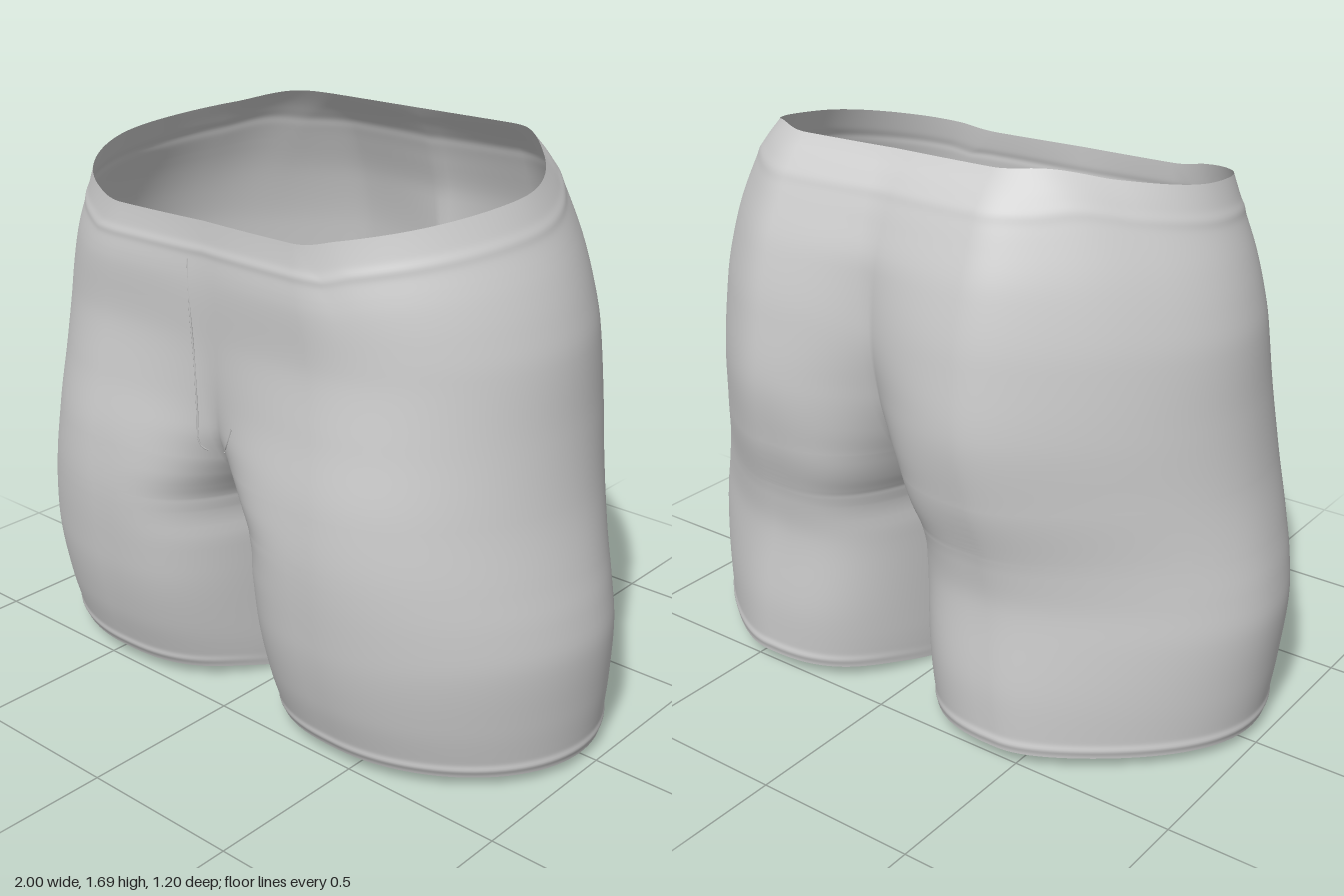
import * as THREE from 'three';

// Smooth monotone curve through [x, y] points
function curve(pts) {
  const n = pts.length;
  const d = pts.slice(1).map((p, i) => (p[1] - pts[i][1]) / (p[0] - pts[i][0]));
  const m = pts.map((p, i) => {
    if (i === 0) return d[0];
    if (i === n - 1) return d[n - 2];
    return d[i - 1] * d[i] <= 0 ? 0 : (2 * d[i - 1] * d[i]) / (d[i - 1] + d[i]);
  });
  return (x) => {
    x = Math.min(Math.max(x, pts[0][0]), pts[n - 1][0]);
    let i = 0;
    while (i < n - 2 && x > pts[i + 1][0]) i++;
    const h = pts[i + 1][0] - pts[i][0], t = (x - pts[i][0]) / h, q = 1 - t;
    return pts[i][1] * (1 + 2 * t) * q * q + h * m[i] * t * q * q
      + pts[i + 1][1] * t * t * (3 - 2 * t) - h * m[i + 1] * t * t * q;
  };
}

const HEM = 0.03, CROTCH = 0.64, WAIST = 1.61;

// Outer width, front and back depth by height
const outerX = curve([[0.03, 0.968], [0.2, 0.988], [0.38, 1], [0.5, 0.985], [0.6, 0.963], [0.8, 0.92],
  [1, 0.892], [1.2, 0.87], [1.3, 0.845], [1.4, 0.81], [1.5, 0.765], [1.61, 0.716]]);
const frontZ = curve([[0.03, 0.495], [0.2, 0.545], [0.4, 0.582], [0.65, 0.6], [0.8, 0.593], [1, 0.565],
  [1.2, 0.545], [1.4, 0.55], [1.61, 0.53]]);
const backZ = curve([[0.03, 0.52], [0.2, 0.525], [0.48, 0.51], [0.6, 0.525], [0.8, 0.575], [1, 0.6],
  [1.2, 0.582], [1.35, 0.545], [1.45, 0.5], [1.53, 0.455], [1.61, 0.38]]);
// Position of the fullest point at the front and back, and the mid depth
const frontX = curve([[0.03, 0.46], [0.5, 0.44], [0.9, 0.42], [1.61, 0.32]]);
const backX = curve([[0.03, 0.44], [0.5, 0.4], [0.95, 0.35], [1.61, 0.32]]);
const midZ = curve([[0.03, 0.03], [0.64, 0.05], [1.2, 0.04], [1.61, 0.08]]);
// Centre seam depth above the crotch, and gap between the legs below it
const seamFront = curve([[0.64, 0.05], [0.655, 0.15], [0.69, 0.28], [0.74, 0.385], [0.8, 0.45], [0.9, 0.497],
  [1.1, 0.52], [1.4, 0.535], [1.61, 0.527]]);
const seamBack = curve([[0.64, -0.05], [0.66, 0.09], [0.7, 0.22], [0.77, 0.33], [0.87, 0.42], [1, 0.475],
  [1.2, 0.51], [1.35, 0.505], [1.45, 0.475], [1.53, 0.438], [1.61, 0.376]]);
const legGap = curve([[0.03, 0.008], [0.15, 0.002], [0.5, 0.002], [0.58, 0.01], [0.64, 0]]);
// Inner thigh squareness, and the slope of the waist from back to front
const innerPower = curve([[0.03, 0.75], [0.4, 0.62], [0.7, 0.6], [0.85, 0.75], [1.05, 1], [1.61, 1]]);
const waistSlope = curve([[-0.4, 0.072], [-0.34, 0.08], [-0.2, 0.045], [0, 0.008], [0.2, -0.015],
  [0.4, -0.05], [0.5, -0.078], [0.53, -0.1]]);

// Inner radius and end angle of a quarter, so that it meets the centre plane
function innerArc(s, cx, depth, seam) {
  if (s <= CROTCH) return [cx - legGap(s), Math.PI];
  const ratio = Math.min(Math.max(seam / depth, 0), 0.997);
  const c = Math.sqrt(1 - ratio * ratio);
  return [cx / c ** innerPower(s), Math.acos(-c)];
}

const bump = (s, at, w) => Math.exp(-(((s - at) / w) ** 2));
const { smoothstep } = THREE.MathUtils;

// Point on the left half: u runs front centre, outside, back centre; s is the height
function surfacePoint(u, s) {
  const mid = midZ(s), df = frontZ(s) - mid, db = backZ(s) + mid;
  const [rf, af] = innerArc(s, frontX(s), df, seamFront(s) - mid);
  const [rb, ab] = innerArc(s, backX(s), db, seamBack(s) + mid);
  const isFront = u < 0.5;
  const a = isFront ? af * (1 - 2 * u) : ab * (2 * u - 1);
  const c = Math.cos(a), cx = isFront ? frontX(s) : backX(s);
  // Raised stitching at the waistband and the hems
  const ridge = 0.003 * bump(s, 1.52, 0.015) + 0.005 * bump(s, 0.055, 0.012);
  const flatten = 1 - (isFront ? 0.08 : 0.38) * (1 - c * c);
  let x = c > 0 ? cx + (outerX(s) + ridge - cx) * c * flatten
    : cx - (isFront ? rf : rb) * (-c) ** innerPower(s);
  if (x < 1e-5) x = 0;
  const z = mid + Math.sin(a) * (isFront ? df + ridge : -db - ridge);
  // Sloping waist and wavy hem
  const top = smoothstep(s, 1.1, WAIST), low = 1 - smoothstep(s, HEM, 0.3);
  const y = s + waistSlope(z) * top
    + low * (0.013 * Math.sin(Math.PI * x) - 0.03 * Math.exp(-((x / 0.06) ** 2)));
  return [x, y, z];
}

// Row heights, denser round the crotch
const rows = [];
for (const [from, to, n] of [[HEM, 0.1, 12], [0.1, 0.6, 20], [0.6, CROTCH, 4], [CROTCH, 0.8, 30],
  [0.8, 1.45, 30], [1.45, WAIST, 24]])
  for (let i = 0; i < n; i++) rows.push(from + ((to - from) * i) / n);
rows.push(WAIST);

function halfGeometry(side) {
  const cols = 112, pos = [], idx = [];
  rows.forEach((s, r) => {
    for (let i = 0; i <= cols; i++) {
      const [x, y, z] = surfacePoint(i / cols, s);
      pos.push(side * x, y, z);
      if (r === 0 || i === 0) continue;
      const d = r * (cols + 1) + i, c = d - 1, b = d - cols - 1, a = b - 1;
      if (side > 0) idx.push(a, b, c, b, d, c);
      else idx.push(a, c, b, b, c, d);
    }
  });
  const g = new THREE.BufferGeometry();
  g.setAttribute('position', new THREE.Float32BufferAttribute(pos, 3));
  g.setIndex(idx);
  g.computeVertexNormals();
  // Blend the shading across the centre seam and the inner leg
  const nor = g.attributes.normal;
  rows.forEach((s, r) => {
    for (const i of [0, cols]) {
      const k = r * (cols + 1) + i;
      const len = Math.hypot(nor.getY(k), nor.getZ(k));
      if (s <= CROTCH) nor.setXYZ(k, -side, 0, 0);
      else if (len > 0.05) nor.setXYZ(k, 0, nor.getY(k) / len, nor.getZ(k) / len);
    }
  });
  return g;
}

// Point on the front surface at a given x and height
function frontPoint(x, y) {
  let best = null;
  const s = y + 0.1 * smoothstep(y, 1.1, 1.51);
  for (let i = 0; i <= 800; i++) {
    const p = surfacePoint(i / 2000, s);
    if (!best || Math.abs(p[0] - Math.abs(x)) < Math.abs(best[0] - Math.abs(x))) best = p;
  }
  return new THREE.Vector3(x, y, best[2]);
}

export function createModel() {
  const group = new THREE.Group();
  group.name = 'shorts';
  const cloth = new THREE.MeshStandardMaterial({ color: 0xcccccc, side: THREE.DoubleSide });
  const add = (name, geometry) => {
    const mesh = new THREE.Mesh(geometry, cloth);
    mesh.name = name;
    group.add(mesh);
  };
  add('leftHalf', halfGeometry(1));
  add('rightHalf', halfGeometry(-1));

  // Fly stitching: straight down, then curving to the left
  const path = [[-0.055, 1.4], [-0.053, 1.25], [-0.05, 1.1], [-0.05, 0.95], [-0.05, 0.84],
    [0, 0.82], [0.06, 0.87], [0.1, 0.94]].map(([x, y]) => frontPoint(x, y));
  add('flySeam', new THREE.TubeGeometry(new THREE.CatmullRomCurve3(path), 60, 0.003, 6));
  return group;
}
